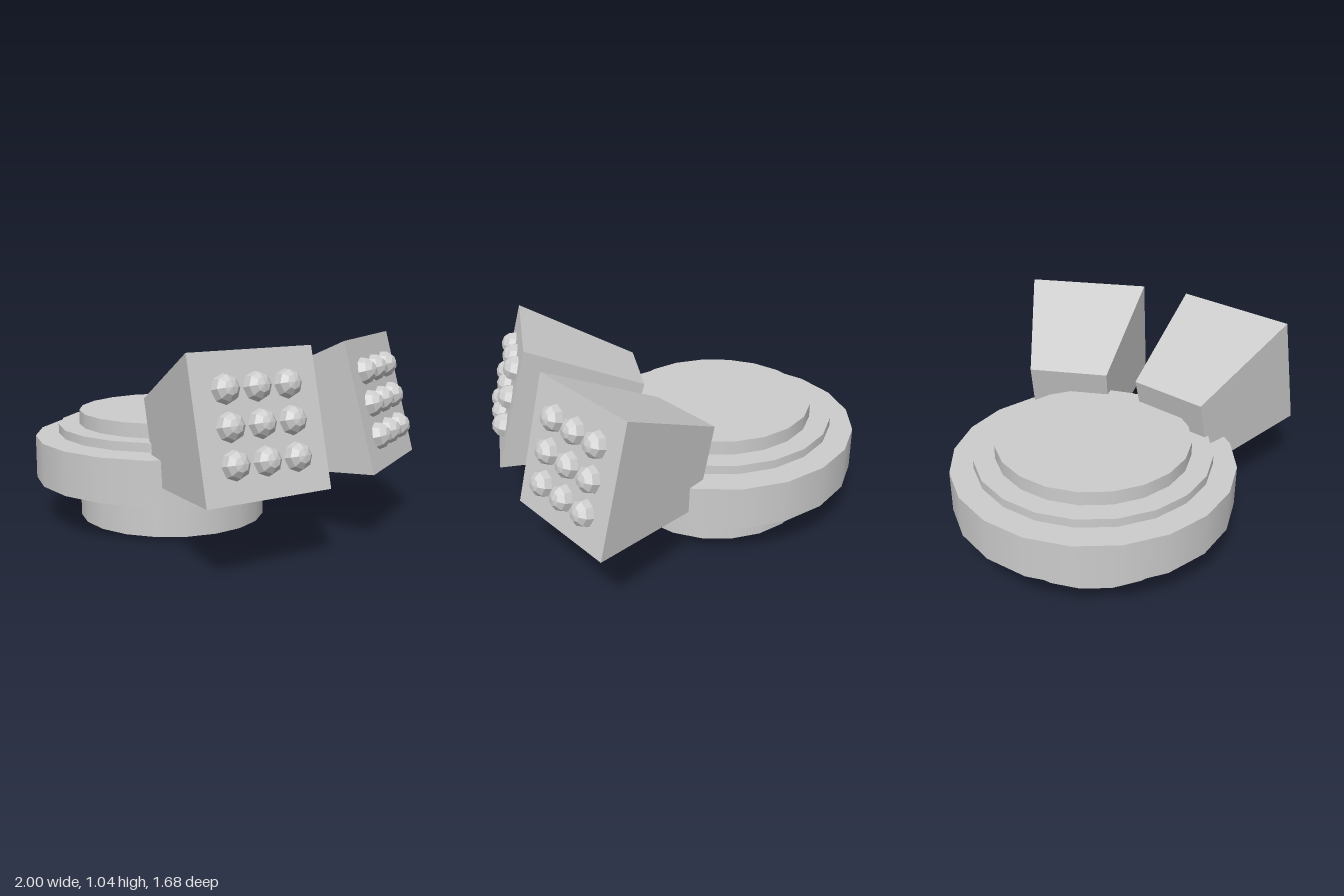
import * as THREE from 'three';

export function createModel() {
  const model = new THREE.Group();
  const smooth = new THREE.MeshStandardMaterial({ color: 0xcccccc });
  const faceted = new THREE.MeshStandardMaterial({ color: 0xcccccc, flatShading: true });
  const rad = THREE.MathUtils.degToRad;

  // Stacked turntable discs, 20 sides each
  const turntable = new THREE.Group();
  turntable.name = 'turntable';
  turntable.position.set(-0.232, 0, 0.022);
  model.add(turntable);
  const disc = (name, radius, y0, y1) => {
    const mesh = new THREE.Mesh(new THREE.CylinderGeometry(radius, radius, y1 - y0, 20), smooth);
    mesh.name = name;
    mesh.position.y = (y0 + y1) / 2;
    turntable.add(mesh);
  };
  disc('core', 0.524, 0, 0.605);
  disc('mainDisc', 0.768, 0.232, 0.468);
  disc('upperRing', 0.64, 0.48, 0.528);

  // Tapered four-sided housing; its wide face lies at local z = 0 and faces +z
  const depth = 0.687;
  const housingGeo = new THREE.CylinderGeometry(0.684 / Math.SQRT2, 0.44 / Math.SQRT2, depth, 4)
    .rotateY(Math.PI / 4)
    .rotateX(Math.PI / 2)
    .translate(0, 0, -depth / 2);

  // Round-nosed tip with its pole pointing out of the wide face
  const tipGeo = new THREE.SphereGeometry(0.071, 8, 6).rotateX(Math.PI / 2);

  const addPod = (name, z, yaw) => {
    const pod = new THREE.Group();
    pod.name = name;
    pod.position.set(0.822, 0.71, z);
    pod.rotation.set(rad(-15), rad(yaw), 0, 'YXZ');

    const housing = new THREE.Mesh(housingGeo, faceted);
    housing.name = 'housing';
    pod.add(housing);

    // Three by three grid of tips
    for (let row = -1; row <= 1; row++) {
      for (let col = -1; col <= 1; col++) {
        const tip = new THREE.Mesh(tipGeo, faceted);
        tip.name = 'tip';
        tip.position.set(col * 0.17, row * 0.17, 0);
        pod.add(tip);
      }
    }
    model.add(pod);
  };
  addPod('frontPod', 0.484, 75);
  addPod('rearPod', -0.492, 105);

  return model;
}
